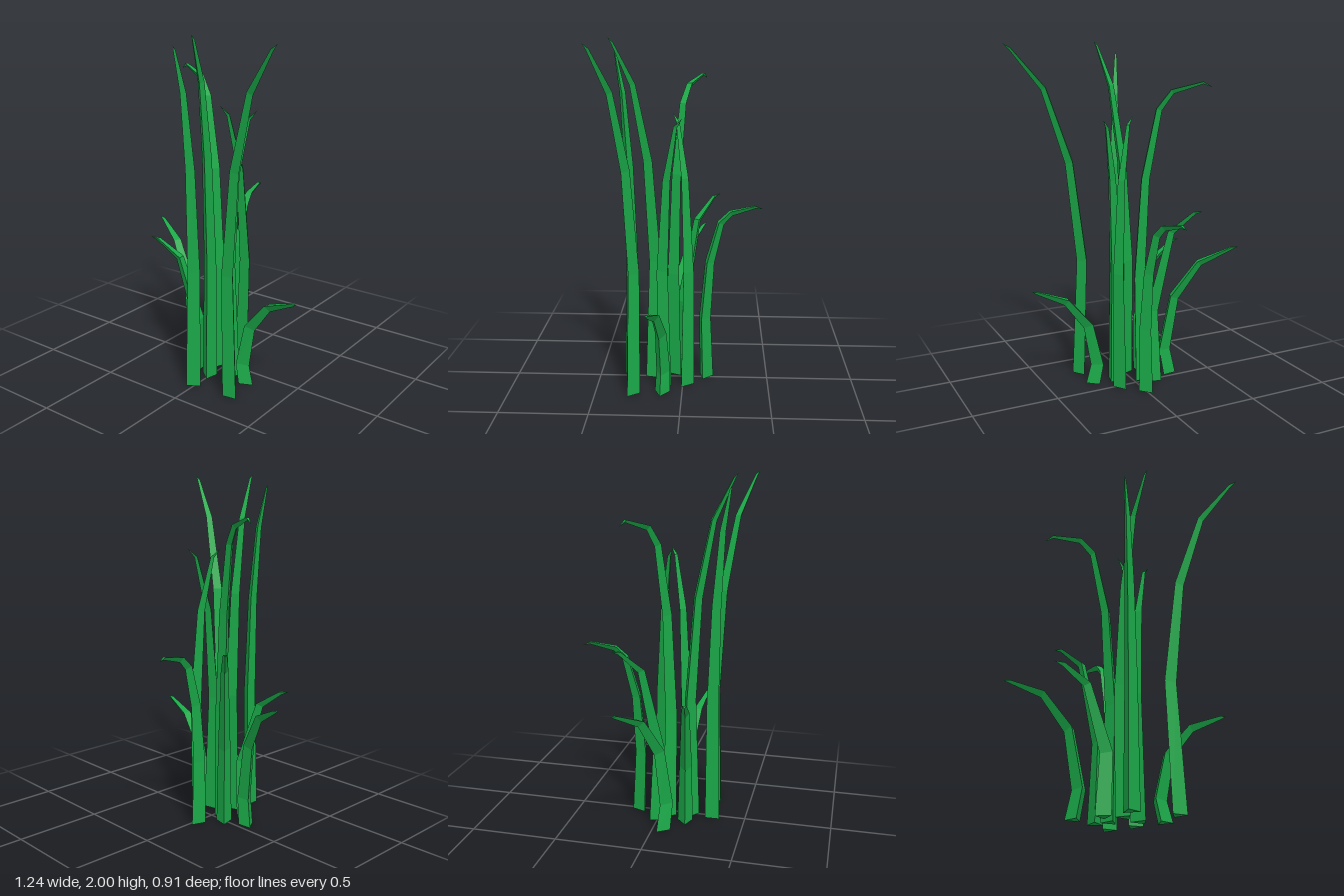
import * as THREE from 'three';

const WIDTH = 0.088; // width of the flat inner face at the foot
const DEPTH = 0.072; // distance from the inner face to the outer ridge

// Ways a blade can bend: [share of its reach, share of its height]
const BENDS = {
  sweeping: [[0.05, 0], [0, 0.36], [0.16, 0.66], [0.48, 0.875], [0.9, 0.987], [1, 1]],
  upright: [[0.06, 0], [0, 0.44], [0.235, 0.777], [0.68, 0.97], [1, 1]],
  drooping: [[0.02, 0], [0, 0.36], [0.09, 0.69], [0.28, 0.915], [0.47, 0.975], [0.88, 1], [1, 0.982]],
  arching: [[0.03, 0], [0, 0.42], [0.38, 0.88], [0.83, 0.995], [1, 1]],
  low: [[0.06, 0], [0, 0.2], [0.14, 0.62], [0.48, 0.89], [0.91, 0.995], [1, 1]],
};

// Bend, height, foot x and z, tip x and z
const BLADES = [
  ['drooping', 1.78, -0.02, 0.06, -0.42, -0.125],
  ['sweeping', 2.0, -0.02, 0.143, 0.075, 0.405],
  ['sweeping', 1.94, 0, 0.285, -0.06, 0.39],
  ['sweeping', 1.99, 0.195, 0.272, 0.615, 0.455],
  ['upright', 1.58, 0.075, 0.125, 0.2, 0],
  ['upright', 1.59, 0.13, -0.035, -0.01, 0.06],
  ['drooping', 1.045, -0.005, -0.1, -0.075, -0.455],
  ['arching', 1.06, -0.09, 0.015, -0.32, -0.21],
  ['arching', 0.8, -0.08, 0.157, -0.4, 0.215],
  ['low', 0.8, -0.195, 0.075, -0.62, -0.125],
  ['low', 0.6, 0.175, 0.11, 0.58, 0.172],
];

// Sweeps a shrinking triangle (flat inside, ridge outside) along the bend.
function bladeGeometry([bend, height, footX, footZ, tipX, tipZ]) {
  const reach = new THREE.Vector3(tipX - footX, 0, tipZ - footZ);
  const out = reach.clone().normalize();
  const side = new THREE.Vector3(-out.z, 0, out.x);
  const points = BENDS[bend].map(([d, y]) =>
    new THREE.Vector3(footX, y * height, footZ).addScaledVector(reach, d));
  const last = points.length - 1;

  // Length left to the tip sets the taper
  const left = points.map(() => 0);
  for (let i = last - 1; i >= 0; i--) {
    left[i] = left[i + 1] + points[i].distanceTo(points[i + 1]);
  }

  const positions = [];
  points.forEach((p, i) => {
    const taper = Math.pow(left[i] / left[0], 0.45);
    const along = points[Math.min(i + 1, last)].clone()
      .sub(points[Math.max(i - 1, 0)]).normalize();
    // Ridge points outwards and under the bend; level at the foot
    const ridge = i === 0
      ? out.clone()
      : out.clone().multiplyScalar(along.y).setY(-along.dot(out));
    positions.push(
      ...p.clone().addScaledVector(ridge, DEPTH * taper),
      ...p.clone().addScaledVector(side, -WIDTH / 2 * taper),
      ...p.clone().addScaledVector(side, WIDTH / 2 * taper));
  });

  const index = [0, 2, 1]; // closed foot
  for (let i = 0; i < last; i++) {
    for (let j = 0; j < 3; j++) {
      const a = i * 3 + j;
      const b = i * 3 + (j + 1) % 3;
      index.push(a, b, b + 3);
      if (i < last - 1) index.push(a, b + 3, a + 3);
    }
  }

  const indexed = new THREE.BufferGeometry();
  indexed.setAttribute('position', new THREE.Float32BufferAttribute(positions, 3));
  indexed.setIndex(index);
  const geometry = indexed.toNonIndexed();
  geometry.computeVertexNormals();
  return geometry;
}

export function createModel() {
  const group = new THREE.Group();
  group.name = 'grassTuft';
  const green = new THREE.MeshStandardMaterial({ color: 0x1aa848, flatShading: true });
  BLADES.forEach((blade, i) => {
    const mesh = new THREE.Mesh(bladeGeometry(blade), green);
    mesh.name = `grassBlade${i + 1}`;
    group.add(mesh);
  });
  return group;
}
